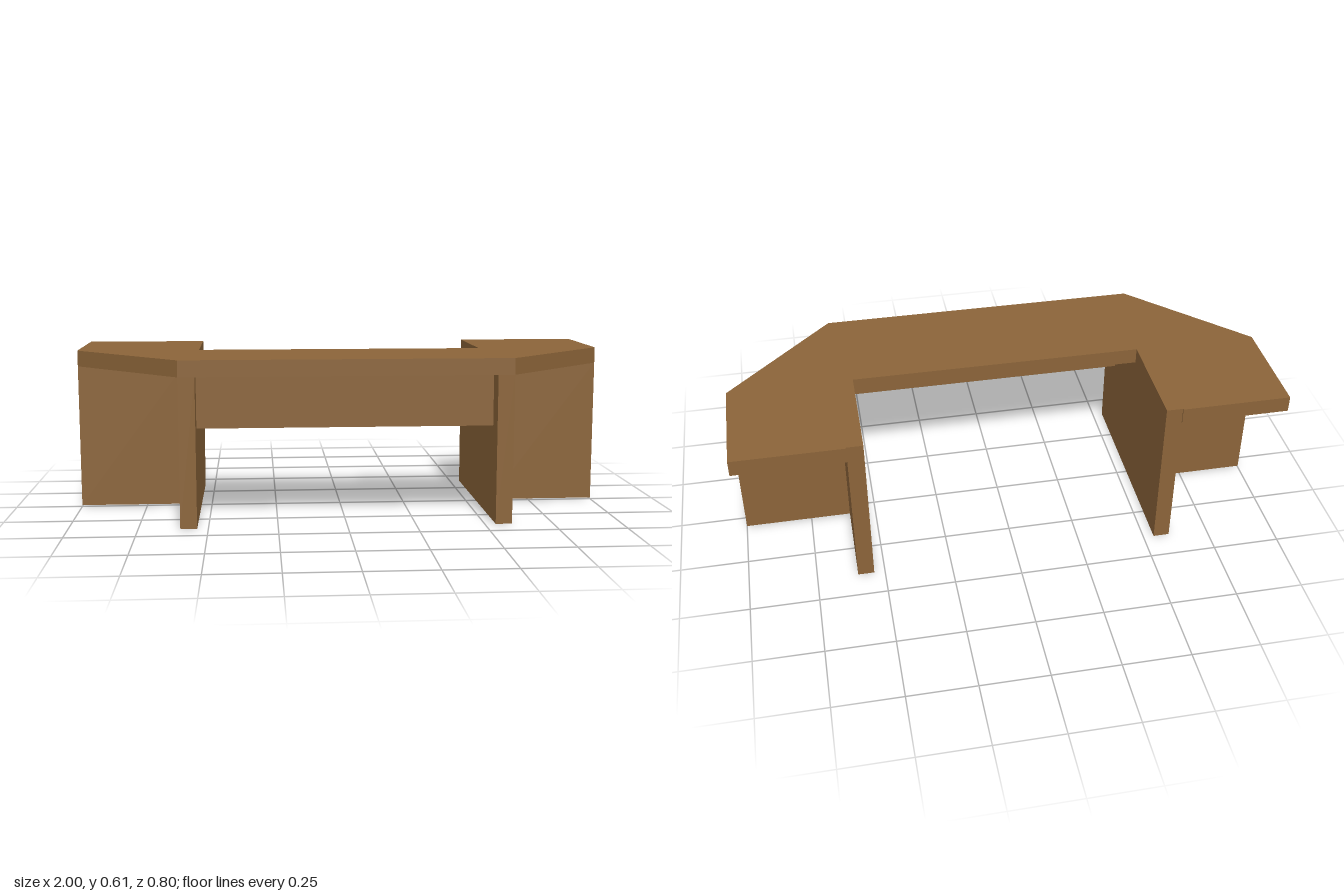
import * as THREE from 'three';

export function createModel() {
  const group = new THREE.Group();
  const wood = new THREE.MeshStandardMaterial({ color: 0x8b6439, flatShading: true });
  const TOP = 0.605, UNDER = 0.545;

  const add = (name, geometry) => {
    const mesh = new THREE.Mesh(geometry, wood);
    mesh.name = name;
    group.add(mesh);
  };

  // A board given by its lower and upper corners
  const board = (name, [x0, y0, z0], [x1, y1, z1]) => {
    const g = new THREE.BoxGeometry(x1 - x0, y1 - y0, z1 - z0);
    g.translate((x0 + x1) / 2, (y0 + y1) / 2, (z0 + z1) / 2);
    add(name, g);
  };

  // U-shaped top with cut front corners, outlined in x and z
  const half = [[0.6, 0.4], [1, 0], [1, -0.4], [0.6, -0.4], [0.6, -0.395], [0.54, -0.395], [0.54, 0]];
  const outline = [...half, ...half.map(([x, z]) => [-x, z]).reverse()];
  const top = new THREE.ExtrudeGeometry(
    new THREE.Shape(outline.map(([x, z]) => new THREE.Vector2(x, z))),
    { depth: TOP - UNDER, bevelEnabled: false }
  );
  top.rotateX(Math.PI / 2);
  top.translate(0, TOP, 0);
  add('deskTop', top);

  // Deep leg panels, each with an outward brace panel
  board('leftLegPanel', [0.54, 0, -0.395], [0.6, UNDER, 0.4]);
  board('rightLegPanel', [-0.6, 0, -0.395], [-0.54, UNDER, 0.4]);
  board('leftOuterPanel', [0.6, 0.005, -0.055], [1, UNDER, 0]);
  board('rightOuterPanel', [-1, 0.005, -0.055], [-0.6, UNDER, 0]);

  // Recessed panel between the legs
  board('modestyPanel', [-0.54, 0.35, 0.26], [0.54, UNDER, 0.32]);

  return group;
}
